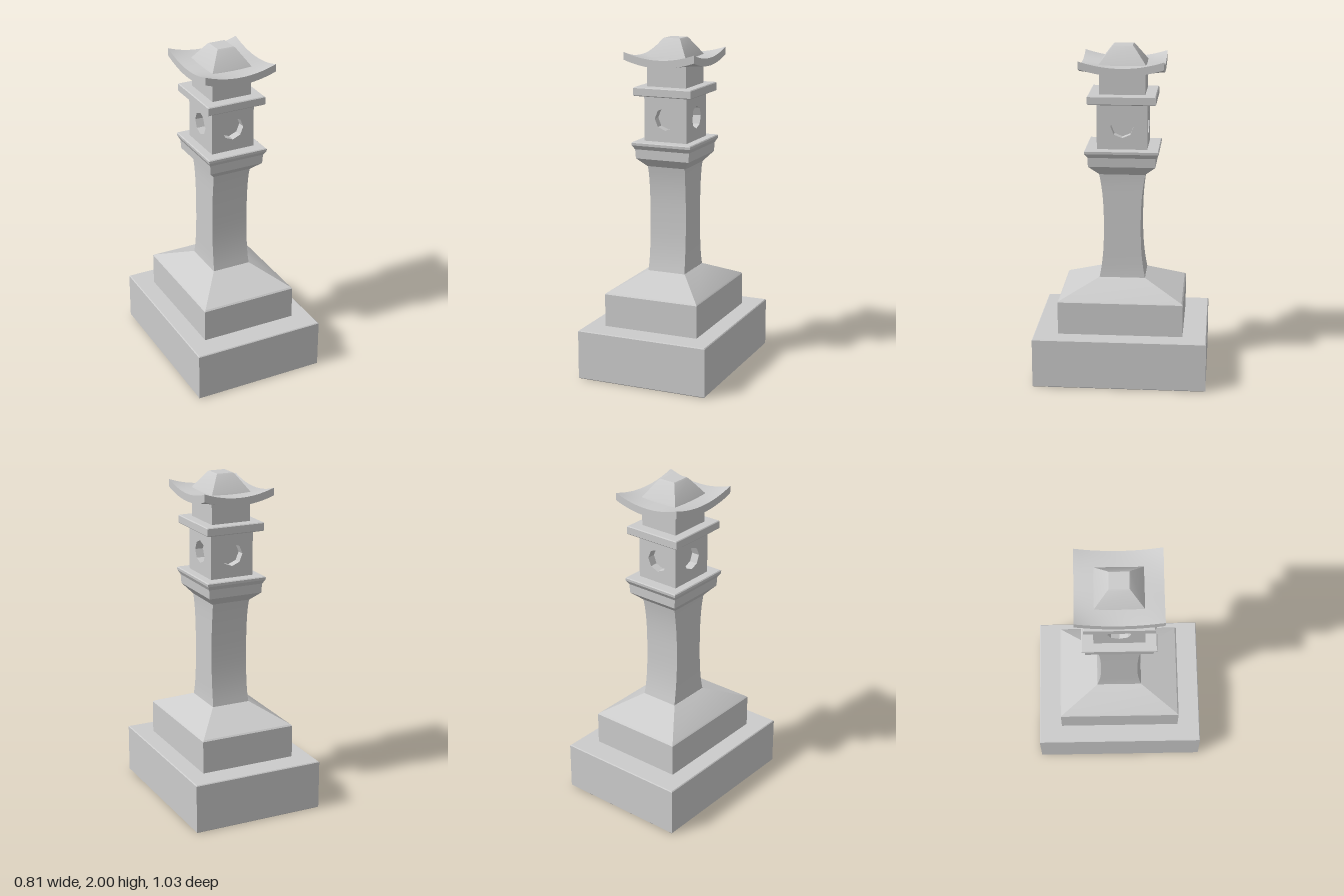
import * as THREE from 'three';
import { mergeVertices, toCreasedNormals } from 'three/addons/utils/BufferGeometryUtils.js';

const material = new THREE.MeshStandardMaterial({ color: 0xcccccc });

// Closed solid from stacked rectangles, each [y, half width, half depth]
function loft(name, sections) {
  const positions = [];
  const ring = ([y, x, z]) => [[-x, y, z], [x, y, z], [x, y, -z], [-x, y, -z]];
  const quad = (a, b, c, d) => positions.push(...a, ...b, ...c, ...a, ...c, ...d);
  for (let i = 0; i < sections.length - 1; i++) {
    const lower = ring(sections[i]);
    const upper = ring(sections[i + 1]);
    for (let k = 0; k < 4; k++) {
      const n = (k + 1) % 4;
      quad(lower[k], lower[n], upper[n], upper[k]);
    }
  }
  const [a, b, c, d] = ring(sections[0]);
  quad(d, c, b, a);
  quad(...ring(sections[sections.length - 1]));
  const geometry = new THREE.BufferGeometry();
  geometry.setAttribute('position', new THREE.Float32BufferAttribute(positions, 3));
  const mesh = new THREE.Mesh(toCreasedNormals(mergeVertices(geometry), 0.35), material);
  mesh.name = name;
  return mesh;
}

// Block with slightly softened edges
function slab(name, y0, y1, x, z, e = 0.005) {
  return loft(name, [
    [y0, x - e, z - e], [y0 + e, x, z], [y1 - e, x, z], [y1, x - e, z - e],
  ]);
}

// Wall panel pierced by an octagonal window, outer face at z = 0
function wallGeometry(width, height, thickness) {
  const w = width / 2, h = height / 2;
  const shape = new THREE.Shape([[-w, -h], [w, -h], [w, h], [-w, h]].map((p) => new THREE.Vector2(...p)));
  const hole = [];
  for (let i = 0; i < 8; i++) {
    const a = -i * Math.PI / 4;
    hole.push(new THREE.Vector2(0.068 * Math.cos(a), 0.068 * Math.sin(a)));
  }
  shape.holes.push(new THREE.Path(hole));
  return new THREE.ExtrudeGeometry(shape, { depth: thickness, bevelEnabled: false }).translate(0, 0, -thickness);
}

// Lamp housing: four pierced walls around a solid core
function createLampHousing() {
  const group = new THREE.Group();
  group.name = 'lampHousing';
  const hx = 0.135, hz = 0.148, t = 0.05, height = 0.28;
  const core = new THREE.Mesh(new THREE.BoxGeometry(2 * (hx - t), height, 2 * (hz - t)), material);
  core.name = 'lampCore';
  group.add(core);
  ['frontWall', 'leftWall', 'backWall', 'rightWall'].forEach((name, i) => {
    const side = i % 2 === 1;
    const geometry = wallGeometry(side ? 2 * (hz - t) : 2 * hx, height, t);
    geometry.translate(0, 0, side ? hx : hz).rotateY(i * Math.PI / 2);
    const wall = new THREE.Mesh(geometry, material);
    wall.name = name;
    group.add(wall);
  });
  group.position.y = 1.536;
  return group;
}

// Roof slab whose four corners sweep upward
function createRoof() {
  const hx = 0.22, hz = 0.246;
  const geometry = new THREE.BoxGeometry(2 * hx, 0.045, 2 * hz, 16, 1, 16);
  const p = geometry.attributes.position;
  for (let i = 0; i < p.count; i++) {
    const u = p.getX(i) / hx, v = p.getZ(i) / hz;
    p.setY(i, p.getY(i) + 1.868 + 0.04 * u * u * v * v);
  }
  geometry.computeVertexNormals();
  const roof = new THREE.Mesh(geometry, material);
  roof.name = 'roof';
  return roof;
}

export function createModel() {
  const model = new THREE.Group();
  model.name = 'stoneLantern';

  // Stepped base
  model.add(slab('plinth', 0, 0.3, 0.405, 0.515));
  model.add(loft('pedestal', [
    [0.29, 0.295, 0.372], [0.497, 0.295, 0.372], [0.505, 0.288, 0.364], [0.605, 0.12, 0.138],
  ]));

  // Column, waisted from front to back
  const column = [];
  for (let i = 0; i <= 16; i++) {
    const s = i / 8 - 1;
    column.push([0.6 + 0.65 * i / 16, 0.115 + 0.004 * s ** 8, 0.11 + 0.028 * Math.abs(s) ** 2.5]);
  }
  model.add(loft('column', column));

  // Flared platform carrying the lamp
  model.add(loft('platform', [
    [1.24, 0.115, 0.13], [1.3, 0.168, 0.198], [1.355, 0.172, 0.2],
    [1.38, 0.186, 0.217], [1.395, 0.187, 0.218], [1.4, 0.182, 0.213],
  ]));

  model.add(createLampHousing());
  model.add(slab('lampCornice', 1.67, 1.722, 0.182, 0.2));
  model.add(slab('neck', 1.71, 1.87, 0.123, 0.134, 0.002));
  model.add(createRoof());
  model.add(loft('roofCap', [
    [1.88, 0.13, 0.144], [1.9, 0.12, 0.134], [1.993, 0.058, 0.064], [2, 0.05, 0.056],
  ]));
  return model;
}
